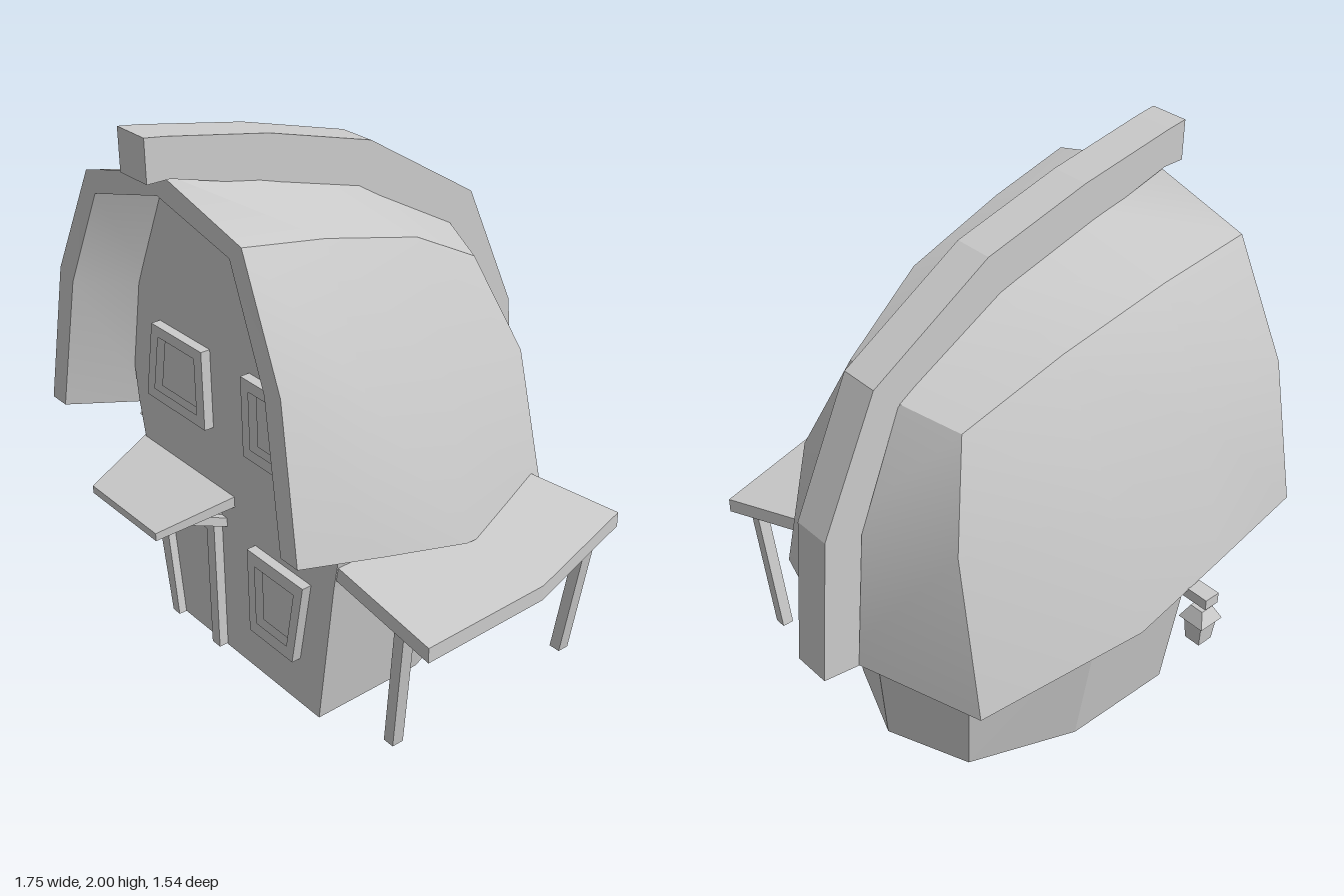
import * as THREE from 'three';
import { toCreasedNormals } from 'three/addons/utils/BufferGeometryUtils.js';

const AXIS = -0.093; // x of the house's plane of symmetry
const flat = new THREE.MeshStandardMaterial({ color: 0xcccccc, flatShading: true });
const smooth = new THREE.MeshStandardMaterial({ color: 0xcccccc, side: THREE.DoubleSide });

function mesh(name, geometry, material = flat) {
  const m = new THREE.Mesh(geometry, material);
  m.name = name;
  return m;
}

function indexed(points, index) {
  const g = new THREE.BufferGeometry();
  g.setAttribute('position', new THREE.Float32BufferAttribute(points.flat(), 3));
  g.setIndex(index);
  g.computeVertexNormals();
  return g;
}

// Closed loft through rings of [x, y, z], ordered +z, +x, -z, -x, from bottom to top
function loft(rings) {
  const n = rings[0].length, last = (rings.length - 1) * n, index = [];
  for (let r = 0; r < rings.length - 1; r++) {
    for (let i = 0; i < n; i++) {
      const a = r * n + i, b = r * n + (i + 1) % n;
      index.push(a, b, b + n, a, b + n, a + n);
    }
  }
  for (let i = 1; i < n - 1; i++) {
    index.push(0, i + 1, i, last, last + i, last + i + 1);
  }
  const g = indexed(rings.flat(), index).toNonIndexed();
  g.computeVertexNormals();
  return g;
}

const square = (x, y, z, h, d = h) =>
  [[x - h, y, z + d], [x + h, y, z + d], [x + h, y, z - d], [x - h, y, z - d]];

const shape = pts => new THREE.Shape(pts.map(p => new THREE.Vector2(...p)));

// Flat plate in the front plane, optionally with an opening
function plate(outline, hole, z, depth) {
  const s = shape(outline);
  if (hole) s.holes.push(shape(hole));
  return new THREE.ExtrudeGeometry(s, { depth, bevelEnabled: false }).translate(0, 0, z);
}

// Curved roof shell: ridge, shoulder, side and eave lines, mirrored and given thickness
function roofGeometry() {
  const ridge = [[0, 1.865, .69], [0, 1.8, .37], [0, 1.69, -.02], [0, 1.45, -.45], [0, 1.03, -.61], [0, .48, -.65]];
  const shoulder = [[.41, 1.755, .69], [.385, 1.69, .37], [.35, 1.58, -.02], [.27, 1.4, -.35], [.39, 1.06, -.47], [.52, .48, -.49]];
  const side = [[.6, 1.365, .71], [.59, 1.27, .39], [.56, 1.13, .01]];
  const eave = [[.693, .85, .735], [.693, .75, .4], [.693, .65, .05]];
  const half = [...shoulder, ...side, ...eave];
  const points = [...ridge, ...half, ...half.map(([x, y, z]) => [-x, y, z])];
  const faces = [];
  for (const mirrored of [false, true]) {
    const o = mirrored ? 18 : 6;
    const quad = (...q) => faces.push(mirrored ? q.reverse() : q);
    for (let i = 0; i < 5; i++) quad(i, o + i, o + i + 1, i + 1);
    const rows = [[0, 1, 2, 3], [6, 7, 8, 4], [9, 10, 11, 5]];
    for (let r = 0; r < 2; r++) {
      for (let i = 0; i < 3; i++) {
        quad(o + rows[r][i], o + rows[r + 1][i], o + rows[r + 1][i + 1], o + rows[r][i + 1]);
      }
    }
  }
  const split = ([a, b, c, d]) => [a, b, c, a, c, d];
  const normals = indexed(points, faces.flatMap(split)).attributes.normal;
  const n = points.length, v = new THREE.Vector3();
  const front = [0, 6, 12, 15, 18, 24, 27];
  const bottom = [5, 11, 15, 16, 17, 23, 27, 28, 29];
  const inner = points.map((p, i) => {
    v.fromBufferAttribute(normals, i);
    if (front.includes(i)) v.z = 0;
    if (bottom.includes(i)) v.y = 0;
    v.normalize();
    return [p[0] - .08 * v.x, p[1] - .08 * v.y, p[2] - .08 * v.z];
  });
  const edges = new Set(faces.flatMap(f => f.map((a, k) => a + '_' + f[(k + 1) % 4])));
  const all = [...faces, ...faces.map(f => f.map(i => i + n).reverse())];
  for (const e of edges) {
    const [a, b] = e.split('_').map(Number);
    if (!edges.has(b + '_' + a)) all.push([b, a, a + n, b + n]);
  }
  return toCreasedNormals(indexed([...points, ...inner], all.flatMap(split)), .52);
}

export function createModel() {
  const model = new THREE.Group();
  model.name = 'cottage';

  // House body, flaring upward with a pointed back
  const ring = (y, w, zf, bw, bz, cz) => [
    [-w, y, zf], [w, y, zf], [w, y, .03], [bw, y, bz],
    [0, y, cz], [-bw, y, bz], [-w, y, .03],
  ];
  const house = new THREE.Group();
  house.name = 'house';
  house.position.x = AXIS;
  model.add(house);
  house.add(mesh('body', loft([
    ring(0, .44, .465, .3, -.35, -.47),
    ring(.57, .525, .465, .36, -.4, -.52),
    ring(.84, .565, .45, .37, -.41, -.53),
  ])));

  // Gable wall filling the roof opening
  const gable = [[.525, .57], [.57, .8], [.59, 1], [.56, 1.3], [.38, 1.67]];
  house.add(mesh('gableWall', plate(
    [...gable, [0, 1.78], ...gable.map(([x, y]) => [-x, y]).reverse()], null, .365, .1)));

  house.add(mesh('roof', roofGeometry(), smooth));

  // Ridge beam bent over the roof
  const beam = shape([
    [.77, 2], [.7, 1.99], [.33, 1.92], [-.07, 1.81], [-.52, 1.53], [-.73, 1.06], [-.77, .5],
    [-.63, .48], [-.59, 1.02], [-.43, 1.43], [-.02, 1.66], [.37, 1.77], [.69, 1.86], [.77, 1.86]]);
  const beamGeometry = new THREE.ExtrudeGeometry(beam, { depth: .14, bevelEnabled: false });
  house.add(mesh('ridgeBeam', beamGeometry.rotateY(-Math.PI / 2).applyMatrix4(
    new THREE.Matrix4().set(1, 0, 0, .07, 0, 1, 0, 0, 0, 0, 1, 0, 0, 0, 0, 1))));

  // Crooked window frames with recessed panes
  const windows = [
    [[[-.49, 1.17], [-.2, 1.17], [-.2, .88], [-.545, .88]],
      [[-.455, 1.13], [-.245, 1.13], [-.245, .92], [-.495, .92]]],
    [[[.015, 1.17], [.3, 1.17], [.355, .88], [.015, .88]],
      [[.055, 1.13], [.265, 1.13], [.305, .92], [.055, .92]]],
    [[[.015, .52], [.315, .52], [.25, .19], [.015, .19]],
      [[.055, .47], [.265, .47], [.22, .24], [.055, .24]]],
  ];
  for (const [outer, hole] of windows) {
    model.add(mesh('windowFrame', plate(outer, hole, .44, .06)));
    model.add(mesh('windowPane', plate(hole, null, .44, .03)));
  }

  // Door and its frame
  const doorway = [[-.43, .005], [-.49, .485], [-.22, .485], [-.22, .005]];
  model.add(mesh('doorFrame', plate(
    [[-.47, .005], [-.56, .57], [-.175, .57], [-.175, .005], ...doorway.slice().reverse()],
    null, .44, .06)));
  model.add(mesh('door', plate(doorway, null, .44, .03)));

  // Door canopy with brackets
  const canopy = (back, front) => [
    [-.565, front, .735], [-.17, front, .735], [-.093, back, .455], [-.645, back, .455]];
  model.add(mesh('doorCanopy', loft([canopy(.62, .558), canopy(.66, .587)])));
  for (const x of [-.56, -.16]) {
    const strut = y => [
      [x - .015, .575 + y, .6], [x + .015, .575 + y, .6],
      [x + .015, .51 + y, .455], [x - .015, .51 + y, .455]];
    model.add(mesh('canopyBracket', loft([strut(0), strut(.035)])));
  }

  // Side awning wrapping the corner
  const awning = drop => [
    [.865, .593, -.03], [.73, .593, -.53], [.27, .655, -.39],
    [.42, .655, .03], [.42, .66, .46], [.87, .593, .46],
  ].map(([x, y, z]) => [x, y - drop, z]);
  model.add(mesh('awning', loft([awning(.055), awning(0)])));

  // Leaning awning posts
  for (const [top, foot] of [[.39, .36], [-.44, -.42]]) {
    model.add(mesh('awningPost', loft([
      square(.605, .015, foot, .022), square(.69, .58, top, .022)])));
  }

  // Hanging lantern on its arm
  const lantern = new THREE.Group();
  lantern.name = 'lantern';
  lantern.position.set(-.825, 0, .29);
  lantern.add(mesh('lanternArm', new THREE.BoxGeometry(.26, .04, .06).translate(.09, .695, 0)));
  lantern.add(mesh('lanternHook', new THREE.BoxGeometry(.012, .04, .012).translate(0, .665, 0)));
  lantern.add(mesh('lanternCap', loft([square(0, .602, 0, .05), square(0, .652, 0, .025)])));
  lantern.add(mesh('lanternBody', loft([square(0, .51, 0, .03), square(0, .605, 0, .038)])));
  model.add(lantern);

  return model;
}
